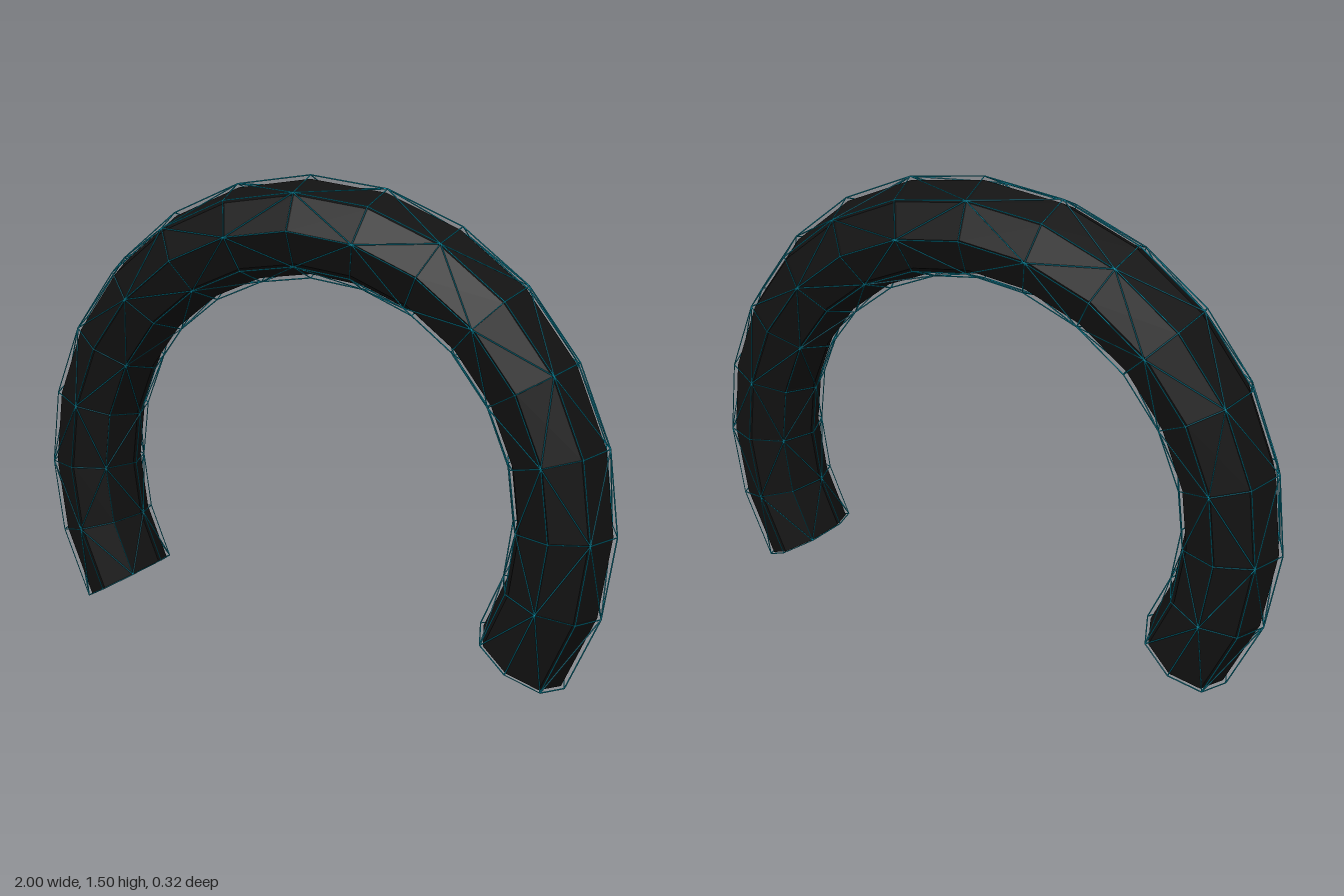
import * as THREE from 'three';
import { mergeGeometries } from 'three/addons/utils/BufferGeometryUtils.js';

const R = 0.84, BODY = 0.145, CAGE = 0.157, WIRE = 0.002;
const SIDES = 8, STEPS = 16, CENTRE = 0.505;
const START = -Math.PI / 6, ARC = Math.PI * 4 / 3;

// Point on the bent tube: i counts along the arc, j around the section
function tubePoint(i, j, r) {
  const u = START + ARC * i / STEPS, v = Math.PI * 2 * j / SIDES;
  const d = R + r * Math.cos(v);
  return new THREE.Vector3(d * Math.cos(u), d * Math.sin(u), r * Math.sin(v));
}

// Thin straight bar between two points
function bar(a, b) {
  const dir = b.clone().sub(a);
  const g = new THREE.CylinderGeometry(WIRE, WIRE, dir.length(), 4);
  g.applyQuaternion(new THREE.Quaternion().setFromUnitVectors(
    new THREE.Vector3(0, 1, 0), dir.normalize()));
  const m = a.clone().add(b).multiplyScalar(0.5);
  return g.translate(m.x, m.y, m.z);
}

// Flat end of the tube
function endCap(angle, turn) {
  return new THREE.CircleGeometry(BODY, SIDES)
    .rotateX(turn).translate(R, 0, 0).rotateZ(angle);
}

export function createModel() {
  const group = new THREE.Group();
  group.name = 'archedTube';

  // Dark faceted tube with closed ends
  const body = new THREE.Mesh(
    mergeGeometries([
      new THREE.TorusGeometry(R, BODY, SIDES, STEPS, ARC).rotateZ(START),
      endCap(START, Math.PI / 2),
      endCap(START + ARC, -Math.PI / 2),
    ]),
    new THREE.MeshStandardMaterial({ color: 0x111111, flatShading: true }));
  body.name = 'tubeBody';

  // Triangulated wire cage standing just off the tube
  const bars = [];
  const link = (i, j, k, l) => bars.push(bar(tubePoint(i, j, CAGE), tubePoint(k, l, CAGE)));
  for (let i = 0; i <= STEPS; i++) {
    for (let j = 0; j < SIDES; j++) {
      link(i, j, i, j + 1);
      if (i === STEPS) continue;
      link(i, j, i + 1, j);
      if ((i + j) % 2) link(i, j, i + 1, j + 1);
      else link(i, j + 1, i + 1, j);
    }
  }
  const cage = new THREE.Mesh(mergeGeometries(bars),
    new THREE.MeshStandardMaterial({ color: 0x0a9ab4 }));
  cage.name = 'wireCage';

  group.add(body, cage);
  group.children.forEach((m) => { m.position.y = CENTRE; });
  return group;
}
